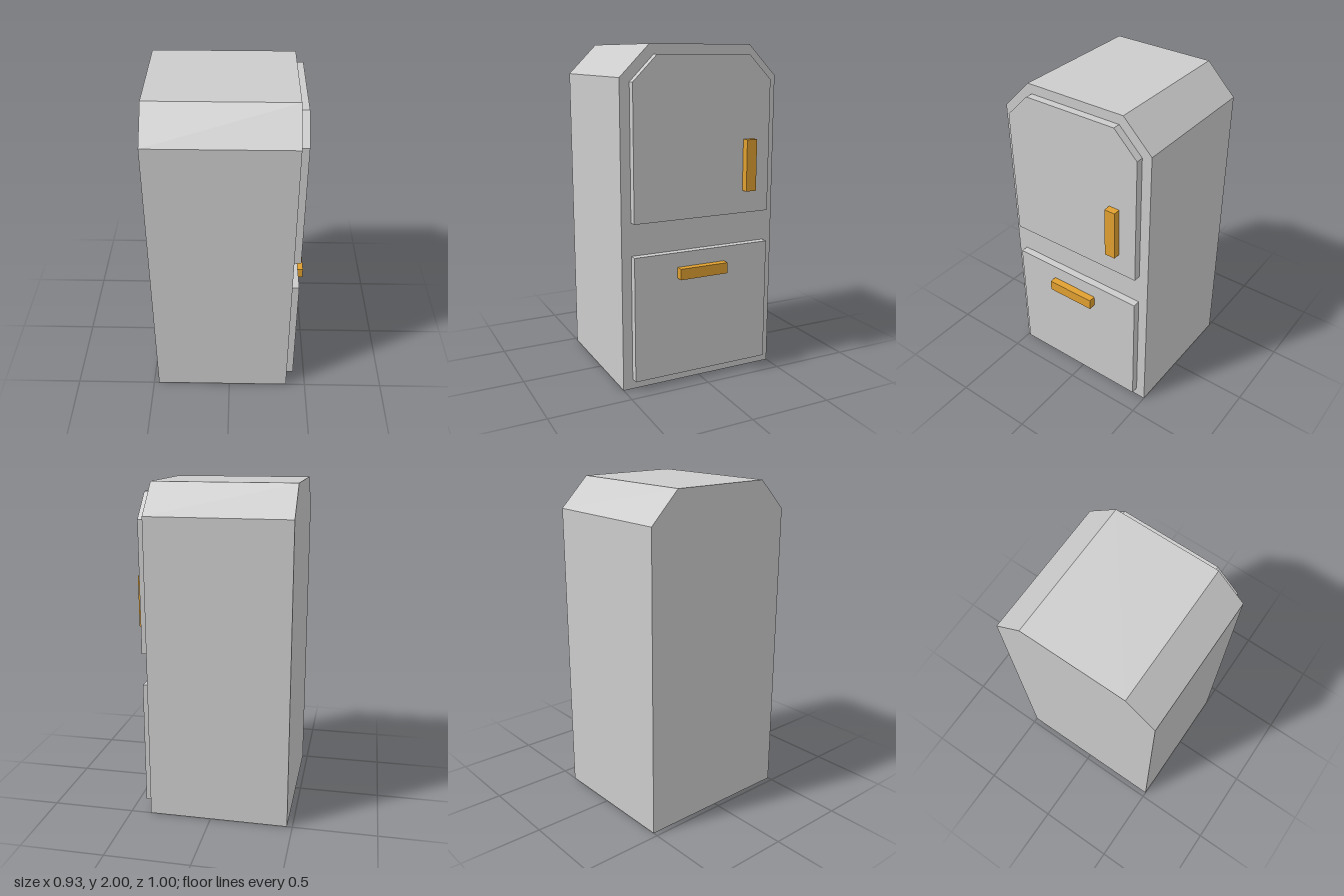
import * as THREE from 'three';

const grey = new THREE.MeshStandardMaterial({ color: 0xcccccc, flatShading: true });
const orange = new THREE.MeshStandardMaterial({ color: 0xe0a030, flatShading: true });

// Panel spanning x0..x1 with a side profile in z/y; top corners cut when topHalf < half
function panel(name, x0, x1, y0, y1, half, topHalf = half, shoulderY = y1) {
  const points = [[-half, y0], [half, y0], [half, shoulderY]];
  if (topHalf < half) points.push([topHalf, y1], [-topHalf, y1]);
  points.push([-half, shoulderY]);
  const shape = new THREE.Shape(points.map(([u, y]) => new THREE.Vector2(u, y)));
  const geometry = new THREE.ExtrudeGeometry(shape, { depth: x1 - x0, bevelEnabled: false });
  geometry.rotateY(Math.PI / 2).translate(x0, 0, 0);
  const mesh = new THREE.Mesh(geometry, grey);
  mesh.name = name;
  return mesh;
}

// Bar handle standing on the door surface
function handle(name, y0, y1, z0, z1) {
  const x0 = 0.422, x1 = 0.466;
  const mesh = new THREE.Mesh(new THREE.BoxGeometry(x1 - x0, y1 - y0, z1 - z0), orange);
  mesh.position.set((x0 + x1) / 2, (y0 + y1) / 2, (z0 + z1) / 2);
  mesh.name = name;
  return mesh;
}

export function createModel() {
  const fridge = new THREE.Group();
  fridge.name = 'refrigerator';
  fridge.add(
    // Cabinet with cut top edges
    panel('cabinet', -0.468, 0.376, 0, 2, 0.5, 0.32, 1.82),
    // Doors on the +x side
    panel('upperDoor', 0.376, 0.422, 1.01, 1.943, 0.441, 0.295, 1.797),
    panel('lowerDoor', 0.376, 0.422, 0.06, 0.815, 0.441),
    // Handles
    handle('upperHandle', 1.147, 1.454, -0.33, -0.263),
    handle('lowerHandle', 0.66, 0.726, -0.143, 0.168),
  );
  return fridge;
}
